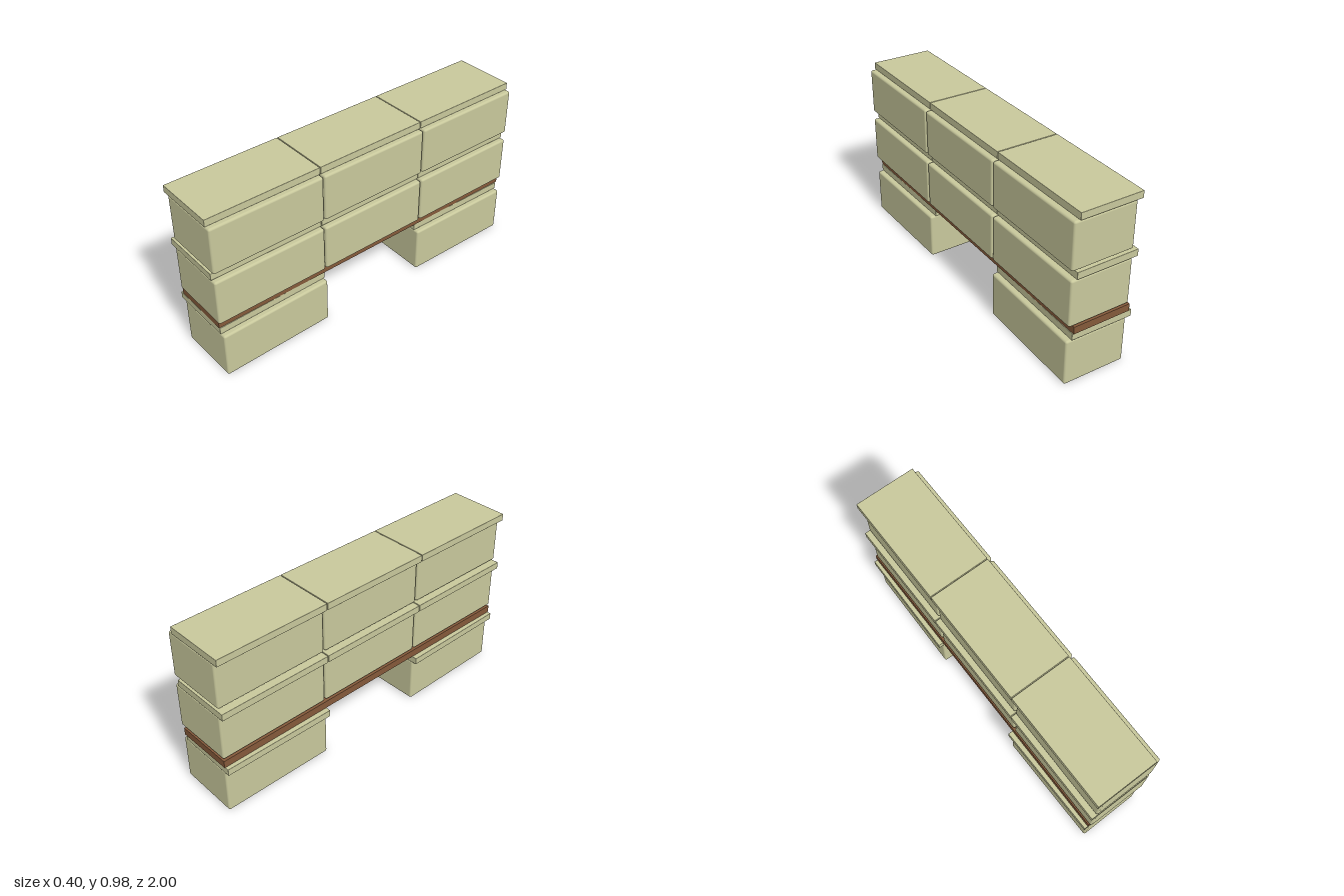
import * as THREE from 'three';
import { RoundedBoxGeometry } from 'three/addons/geometries/RoundedBoxGeometry.js';

export function createModel() {
  const model = new THREE.Group();
  model.name = 'stackedBoxes';

  const khaki = new THREE.MeshStandardMaterial({ color: 0xc8c89c });
  khaki.name = 'khaki card';
  const wood = new THREE.MeshStandardMaterial({ color: 0x84593a });
  wood.name = 'brown wood';

  // soft-edged body and a thin lid shifted sideways
  const bodyGeometry = new RoundedBoxGeometry(0.36, 0.267, 0.659, 3, 0.012);
  const lidGeometry = new RoundedBoxGeometry(0.358, 0.04, 0.663, 1, 0.002);

  function addBox(name, y, z, yaw) {
    const box = new THREE.Group();
    box.name = name;
    const body = new THREE.Mesh(bodyGeometry, khaki);
    body.name = 'boxBody';
    body.position.set(0.015, 0.1335, 0);
    const lid = new THREE.Mesh(lidGeometry, khaki);
    lid.name = 'boxLid';
    lid.position.set(-0.015, 0.287, 0);
    box.add(body, lid);
    box.position.set(0, y, z);
    box.rotation.y = yaw;
    model.add(box);
  }

  // two supporting boxes, very slightly turned
  addBox('frontBaseBox', 0.003, 0.653, 0.011);
  addBox('backBaseBox', 0.003, -0.661, -0.011);

  // two upper rows of three
  [0.36, 0.678].forEach((y, row) => {
    [0.667, 0, -0.667].forEach((z, i) => {
      addBox(`${row ? 'top' : 'middle'}RowBox${i + 1}`, y, z, 0);
    });
  });

  // plank bridging the supports
  const plank = new THREE.Mesh(new THREE.BoxGeometry(0.336, 0.042, 1.985), wood);
  plank.name = 'plank';
  plank.position.set(-0.002, 0.334, -0.007);
  model.add(plank);

  return model;
}
